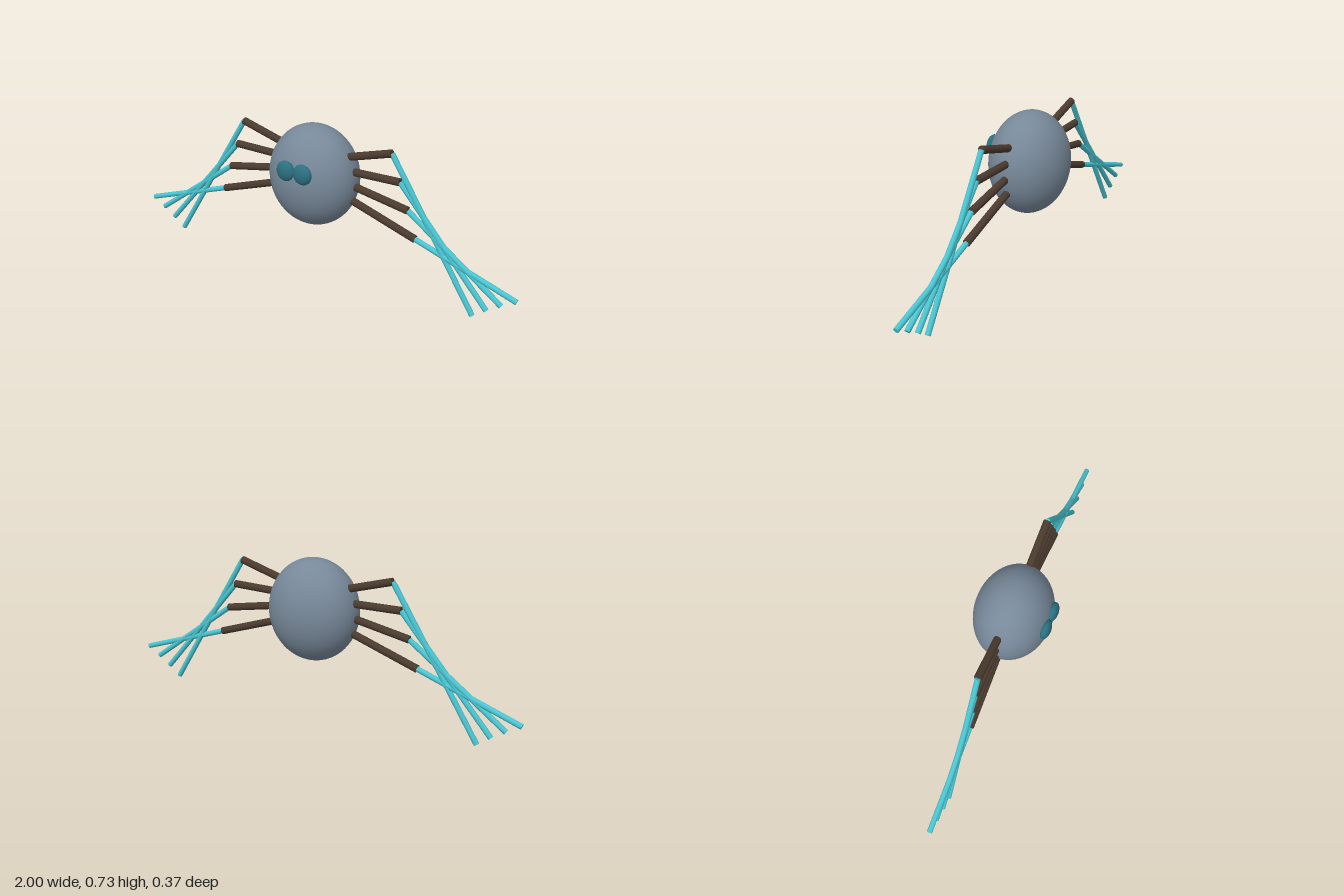
import * as THREE from 'three';

const MID_Z = -0.007;
const paint = (color) => new THREE.MeshStandardMaterial({ color });

// Straight round bar between two points
function bar(name, a, b, radius, material) {
  const dir = b.clone().sub(a);
  const mesh = new THREE.Mesh(new THREE.CylinderGeometry(radius, radius, dir.length(), 24), material);
  mesh.name = name;
  mesh.position.copy(a).add(b).multiplyScalar(0.5);
  mesh.quaternion.setFromUnitVectors(new THREE.Vector3(0, 1, 0), dir.normalize());
  return mesh;
}

function ellipsoid(name, position, radii, material) {
  const geometry = new THREE.SphereGeometry(1, 48, 32).scale(...radii);
  const mesh = new THREE.Mesh(geometry, material);
  mesh.name = name;
  mesh.position.set(...position);
  return mesh;
}

export function createModel() {
  const model = new THREE.Group();
  model.name = 'spider';
  const bodyPaint = paint(0x778899);
  const eyePaint = paint(0x2b7080);
  const upperPaint = paint(0x4a3a2e);
  const lowerPaint = paint(0x48c4d0);

  // Egg-shaped body
  model.add(ellipsoid('body', [0, 0.488, MID_Z], [0.217, 0.239, 0.177], bodyPaint));

  // Hip, knee and foot of each leg, from top to bottom, as [x, y]
  const legs = [
    [[0.15, 0.601], [0.39, 0.67], [0.806, 0.0075]],
    [[0.15, 0.542], [0.433, 0.547], [0.867, 0.052]],
    [[0.15, 0.485], [0.476, 0.424], [0.931, 0.094]],
    [[0.15, 0.42], [0.518, 0.297], [0.996, 0.134]],
  ];

  for (const side of [1, -1]) {
    const label = side > 0 ? 'left' : 'right';

    // Flattened eye set into the front of the body
    model.add(ellipsoid(label + 'Eye', [side * 0.043, 0.552, 0.161], [0.046, 0.047, 0.024], eyePaint));

    // Two-part legs in one flat plane
    legs.forEach((points, i) => {
      const [hip, knee, foot] = points.map(([x, y]) => new THREE.Vector3(side * x, y, MID_Z));
      const leg = new THREE.Group();
      leg.name = label + 'Leg' + (i + 1);
      leg.add(bar('upperLeg', hip, knee, 0.0175, upperPaint));
      leg.add(bar('lowerLeg', knee, foot, 0.0125, lowerPaint));
      model.add(leg);
    });
  }
  return model;
}
